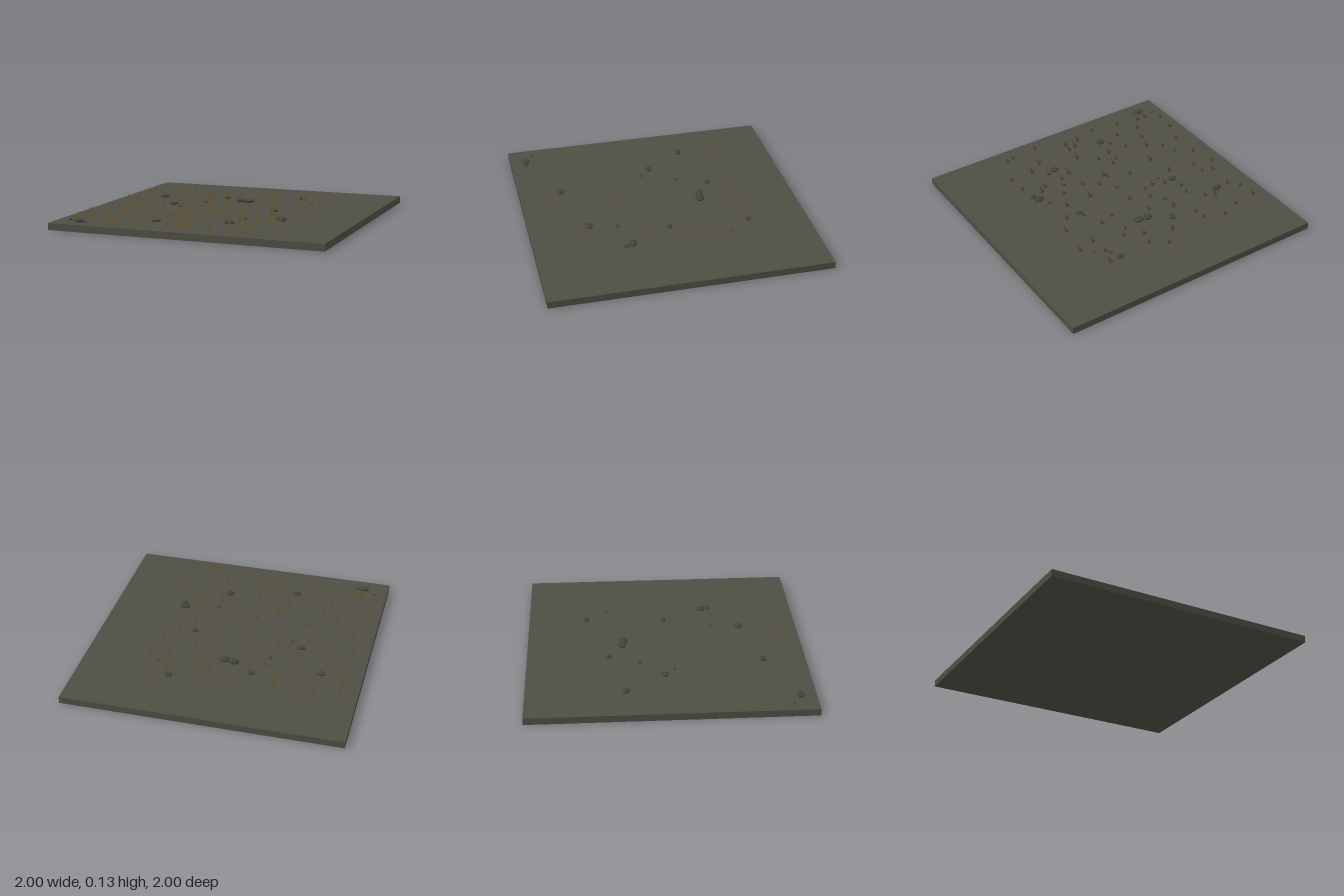
import * as THREE from 'three';

const TOP = 0.05; // height of the ground surface

const soil = new THREE.MeshStandardMaterial({ color: 0x4f4e44 });
soil.name = 'soil';
const stone = new THREE.MeshStandardMaterial({ color: 0x42423d });
stone.name = 'stone';
const dryGrass = new THREE.MeshStandardMaterial({ color: 0x6b5730, side: THREE.DoubleSide });
dryGrass.name = 'dryGrass';

function seeded(seed) {
  return () => {
    seed = (seed * 1664525 + 1013904223) % 4294967296;
    return seed / 4294967296;
  };
}

function addMesh(parent, name, geometry, material) {
  const mesh = new THREE.Mesh(geometry, material);
  mesh.name = name;
  parent.add(mesh);
  return mesh;
}

// Flat upright tuft: three pointed blades leaning to +x, taller towards the tip side
function tuftGeometry() {
  const blades = [[-0.011, 0.034], [0, 0.05], [0.011, 0.066]];
  const shapes = blades.map(([x, h]) => new THREE.Shape([
    new THREE.Vector2(x - 0.006, 0),
    new THREE.Vector2(x + 0.006, 0),
    new THREE.Vector2(x + 0.007 + h * 0.1, h * 0.55),
    new THREE.Vector2(x + h * 0.24, h),
  ]));
  return new THREE.ShapeGeometry(shapes);
}

export function createModel() {
  const model = new THREE.Group();
  model.name = 'groundTile';

  // Ground slab
  addMesh(model, 'groundSlab', new THREE.BoxGeometry(2, TOP, 2), soil).position.y = TOP / 2;

  // Flattened pebbles: x, z, radius
  const pebbles = new THREE.Group();
  pebbles.name = 'pebbles';
  model.add(pebbles);
  const pebbleGeometry = new THREE.SphereGeometry(1, 10, 6);
  [
    [0.34, -0.57, 0.031], [0.46, -0.42, 0.013], [-0.22, -0.41, 0.028],
    [-0.07, -0.31, 0.041], [0.0, -0.3, 0.041], [-0.7, -0.3, 0.036],
    [-0.31, -0.19, 0.019], [-0.5, -0.02, 0.034], [-0.42, 0.05, 0.015],
    [0.31, 0.01, 0.03], [0.47, 0.31, 0.04], [0.49, 0.36, 0.026],
    [0.22, 0.37, 0.019], [0.18, 0.57, 0.037], [-0.32, 0.69, 0.035],
    [-0.91, 0.83, 0.016], [-0.82, 0.885, 0.038], [-0.77, 0.89, 0.016],
  ].forEach(([x, z, r]) => {
    const pebble = addMesh(pebbles, 'pebble', pebbleGeometry, stone);
    pebble.scale.set(r, r * 0.36, r * 0.75);
    pebble.position.set(x, TOP + r * 0.28, z);
  });

  // Dry grass scattered on a jittered grid
  const grass = new THREE.Group();
  grass.name = 'dryGrass';
  model.add(grass);
  const geometry = tuftGeometry();
  const random = seeded(17);
  const columns = 9, rows = 10;
  for (let i = 0; i < columns; i++) {
    for (let j = 0; j < rows; j++) {
      const x = -0.93 + (i + random()) * 1.49 / columns;
      const z = -0.64 + (j + random()) * 1.55 / rows;
      const size = 0.7 + random() * 0.48;
      const tuft = addMesh(grass, 'grassTuft', geometry, dryGrass);
      tuft.position.set(x, TOP, z);
      tuft.scale.set(0.9, size, 1);
    }
  }
  return model;
}
